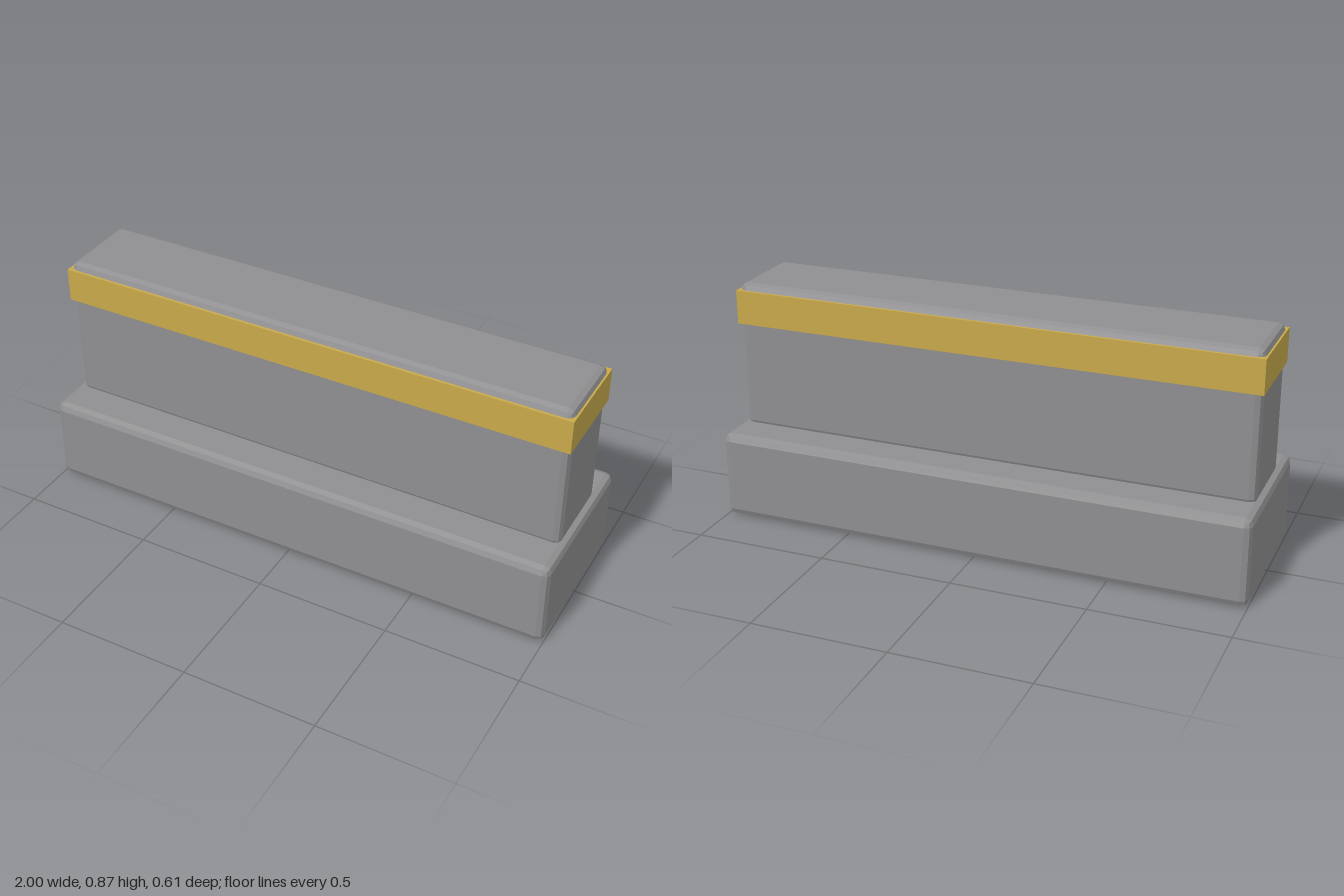
import * as THREE from 'three';
import { RoundedBoxGeometry } from 'three/addons/geometries/RoundedBoxGeometry.js';

export function createModel() {
  const model = new THREE.Group();
  const stone = new THREE.MeshStandardMaterial({ color: 0x8f8f91, flatShading: true });
  stone.name = 'grey stone';
  const gold = new THREE.MeshStandardMaterial({ color: 0xc8a94b, flatShading: true });
  gold.name = 'gold';

  // Adds a box spanning y0..y1; a bevel above zero rounds its edges in two facets
  function addBox(name, width, depth, y0, y1, bevel, material) {
    const height = y1 - y0;
    const geometry = bevel > 0
      ? new RoundedBoxGeometry(width, height, depth, 1, bevel)
      : new THREE.BoxGeometry(width, height, depth);
    const mesh = new THREE.Mesh(geometry, material);
    mesh.name = name;
    mesh.position.y = (y0 + y1) / 2;
    model.add(mesh);
  }

  // Wide footing, narrow wall standing on it, and the band round the wall's top
  addBox('base', 2, 0.614, 0, 0.327, 0.027, stone);
  addBox('wall', 1.954, 0.324, 0.31, 0.872, 0.026, stone);
  addBox('trimBand', 1.967, 0.344, 0.72, 0.847, 0, gold);

  return model;
}
